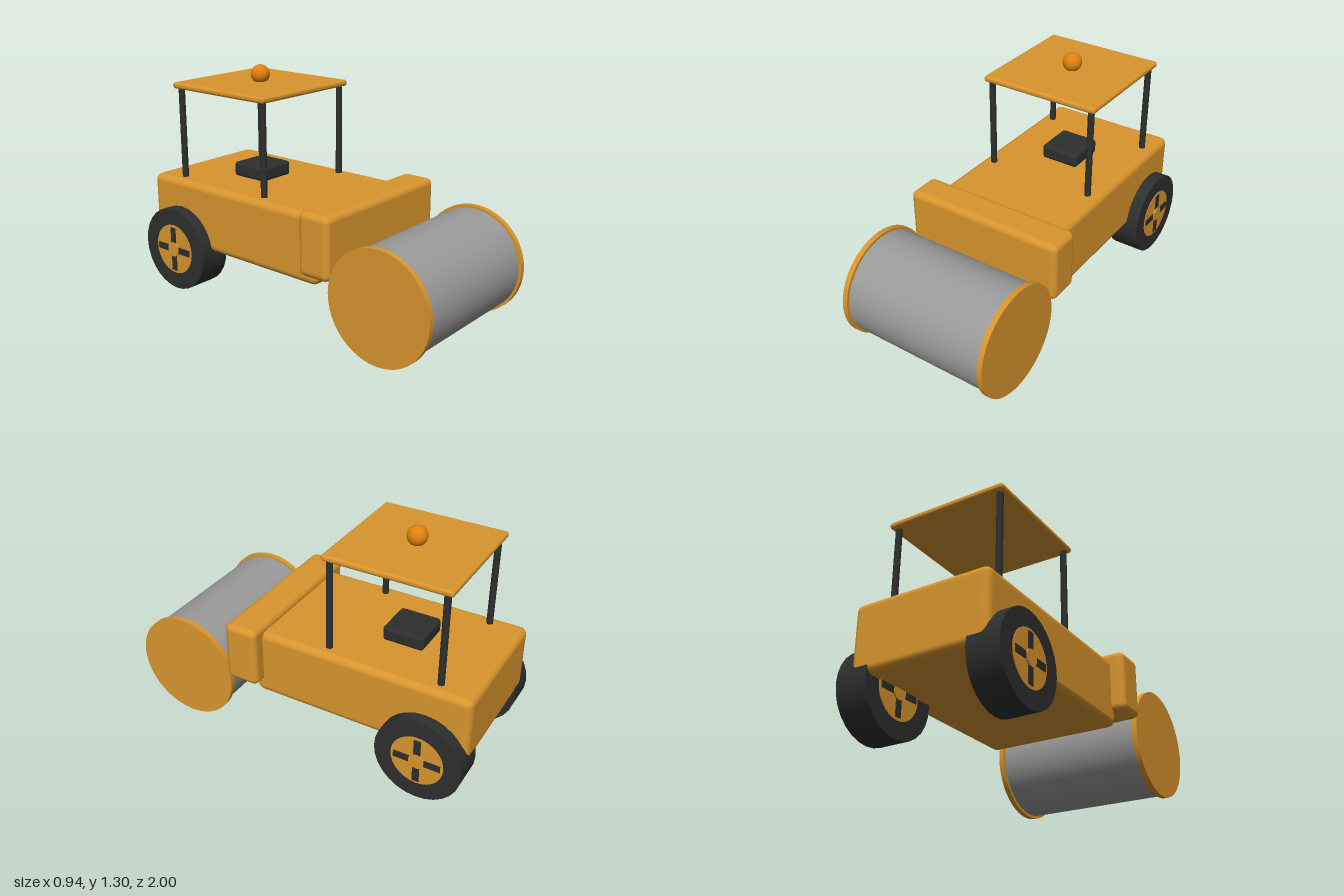
import * as THREE from 'three';
import { RoundedBoxGeometry } from 'three/addons/geometries/RoundedBoxGeometry.js';

const mat = (name, color) => {
  const m = new THREE.MeshStandardMaterial({ color });
  m.name = name;
  return m;
};

export function createModel() {
  const orange = mat('body orange', 0xd8952d);
  const amber = mat('beacon amber', 0xe0820f);
  const black = mat('rubber black', 0x2e2f2f);
  const steel = mat('drum steel', 0x9a9a9a);

  const root = new THREE.Group();
  root.name = 'roadRoller';

  const add = (parent, name, geometry, material, x = 0, y = 0, z = 0) => {
    const mesh = new THREE.Mesh(geometry, material);
    mesh.name = name;
    mesh.position.set(x, y, z);
    parent.add(mesh);
    return mesh;
  };
  // Rounded box given by its limits on each axis
  const block = (name, material, [x0, x1], [y0, y1], [z0, z1], r) =>
    add(root, name, new RoundedBoxGeometry(x1 - x0, y1 - y0, z1 - z0, 3, r), material,
      (x0 + x1) / 2, (y0 + y1) / 2, (z0 + z1) / 2);
  // Cylinder lying along x
  const axleCylinder = (r, width, sides) =>
    new THREE.CylinderGeometry(r, r, width, sides).rotateZ(Math.PI / 2);

  // Body, front yoke and seat
  block('chassis', orange, [-0.39, 0.39], [0.275, 0.66], [-0.99, 0.26], 0.04);
  block('frontYoke', orange, [-0.467, 0.467], [0.355, 0.7], [0.205, 0.4], 0.035);
  block('seat', black, [-0.115, 0.115], [0.655, 0.74], [-0.6, -0.365], 0.02);

  // Canopy with posts and beacon
  block('canopy', orange, [-0.35, 0.35], [1.175, 1.21], [-0.835, -0.13], 0.015);
  for (const x of [-0.315, 0.315]) {
    for (const z of [-0.165, -0.795]) {
      add(root, 'canopyPost', new THREE.CylinderGeometry(0.018, 0.018, 0.54, 16), black, x, 0.915, z);
    }
  }
  add(root, 'beacon', new THREE.SphereGeometry(0.054, 32, 20), amber, 0, 1.25, -0.483);

  // Roller drum with end plates
  const drum = new THREE.Group();
  drum.name = 'rollerDrum';
  drum.position.set(0, 0.305, 0.695);
  root.add(drum);
  add(drum, 'drumShell', axleCylinder(0.29, 0.84, 64), steel);
  for (const s of [-1, 1]) {
    add(drum, 'drumEndPlate', axleCylinder(0.305, 0.03, 64), orange, s * 0.431);
  }

  // Rear wheels: tyre, rim, four spokes and hub, alike on both faces
  for (const s of [-1, 1]) {
    const wheel = new THREE.Group();
    wheel.name = s > 0 ? 'leftWheel' : 'rightWheel';
    wheel.position.set(s * 0.37, 0.26, -0.755);
    root.add(wheel);
    add(wheel, 'tyre', axleCylinder(0.242, 0.18, 28), black);
    add(wheel, 'rim', axleCylinder(0.146, 0.186, 28), orange);
    add(wheel, 'hub', axleCylinder(0.043, 0.204, 20), orange);
    for (let i = 0; i < 4; i++) {
      const a = (i * Math.PI) / 2;
      const spoke = add(wheel, 'spoke', new THREE.BoxGeometry(0.196, 0.09, 0.038), black,
        0, Math.cos(a) * 0.085, Math.sin(a) * 0.085);
      spoke.rotation.x = a;
    }
  }

  return root;
}
